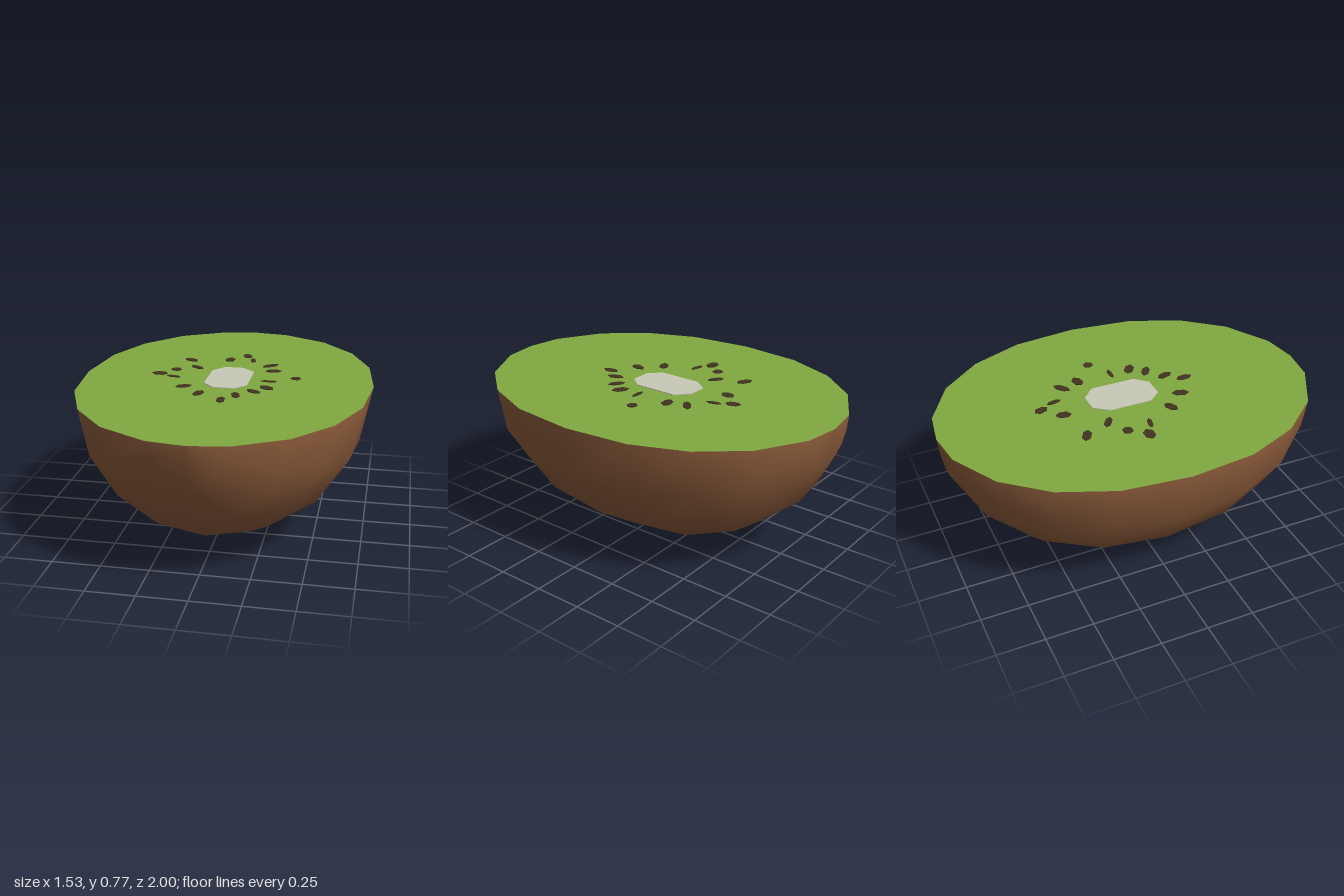
import * as THREE from 'three';

const TOP = 0.765;
const material = (name, color) => new THREE.MeshStandardMaterial({ name, color });

export function createModel() {
  const group = new THREE.Group();
  const brown = material('brown skin', 0x8b5b3a);
  const green = material('green flesh', 0x7fa940);
  const cream = material('pale core', 0xc9c9b8);
  const dark = material('dark seed', 0x42331f);

  const add = (name, geometry, mat, y = 0) => {
    const mesh = new THREE.Mesh(geometry, mat);
    mesh.name = name;
    mesh.position.y = y;
    group.add(mesh);
    return mesh;
  };

  // Half profile along the long axis: radius, distance from the middle
  const half = [[0.765, 0], [0.728, 0.345], [0.617, 0.62], [0.437, 0.835], [0.19, 0.973], [0, 1]];
  const profile = [
    ...half.slice(1).reverse().map(([r, z]) => new THREE.Vector2(r, -z)),
    ...half.map(([r, z]) => new THREE.Vector2(r, z)),
  ];

  // Skin: lower half of a solid turned about the z axis
  const skin = new THREE.LatheGeometry(profile, 8, -Math.PI / 2, Math.PI);
  skin.rotateX(Math.PI / 2);
  add('skin', skin, brown, TOP);

  // Cut face, with the same outline as the skin's rim
  const mirrored = profile.slice(1, -1).reverse().map((p) => new THREE.Vector2(-p.x, p.y));
  const cut = new THREE.ShapeGeometry(new THREE.Shape([...profile, ...mirrored]));
  cut.rotateX(-Math.PI / 2);
  add('cutFlesh', cut, green, TOP);

  // Core: thin eight-sided plate
  const corePoints = [[-0.05, 0.205], [0.05, 0.205], [0.12, 0.14], [0.12, -0.1],
    [0.06, -0.165], [-0.05, -0.165], [-0.107, -0.1], [-0.107, 0.13]];
  const core = new THREE.ExtrudeGeometry(
    new THREE.Shape(corePoints.map(([x, y]) => new THREE.Vector2(x, y))),
    { depth: 0.004, bevelEnabled: false });
  core.rotateX(-Math.PI / 2);
  add('core', core, cream, TOP);

  // Seeds: x, z, length, width, turn in the cut plane
  const seeds = [
    [0.035, -0.45, 0.08, 0.05, 1.9], [-0.05, -0.36, 0.08, 0.055, 1.4],
    [0.08, -0.365, 0.08, 0.03, 1.75], [-0.265, -0.32, 0.09, 0.05, -0.5],
    [0.19, -0.28, 0.1, 0.045, 0.7], [-0.2, -0.18, 0.09, 0.04, -0.6],
    [0.22, -0.18, 0.085, 0.055, 0.2], [-0.305, -0.12, 0.06, 0.055, 0],
    [-0.375, -0.035, 0.085, 0.06, 0], [0.355, -0.065, 0.055, 0.055, 0],
    [-0.29, 0.008, 0.08, 0.028, -0.2], [0.222, 0.01, 0.085, 0.025, 0],
    [0.225, 0.122, 0.09, 0.055, -0.6], [-0.2, 0.168, 0.085, 0.05, 0.5],
    [0.17, 0.195, 0.09, 0.045, -0.6], [-0.1, 0.27, 0.09, 0.05, 1.3],
    [0.09, 0.27, 0.09, 0.045, -1.3], [0.03, 0.355, 0.09, 0.045, -1.5],
  ];
  const seedShape = new THREE.CylinderGeometry(0.5, 0.5, 0.008, 6);
  seedShape.rotateY(Math.PI / 2);
  for (const [x, z, length, width, turn] of seeds) {
    const seed = add('seed', seedShape, dark);
    seed.position.set(x, TOP, z);
    seed.scale.set(length, 1, width);
    seed.rotation.y = turn;
  }
  return group;
}
